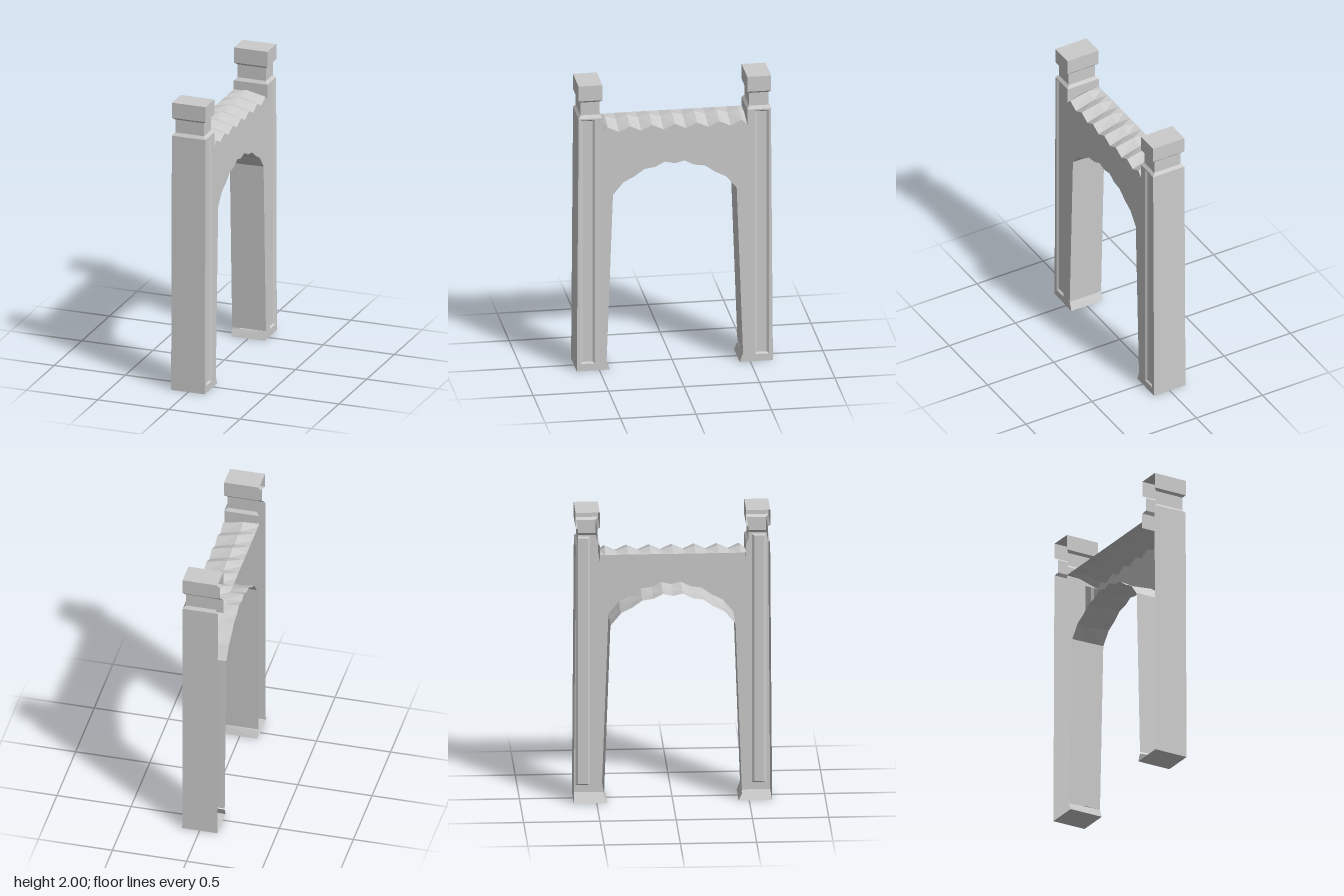
import * as THREE from 'three';

const FRONT = 0.117, MID = -0.02, BACK = -0.12;
const material = new THREE.MeshStandardMaterial({ color: 0xcccccc, flatShading: true, side: THREE.DoubleSide });

// Skin a surface over rows of [x, y, z] points
function skin(name, rows) {
  const n = rows[0].length, index = [];
  for (let r = 0; r < rows.length - 1; r++) {
    for (let i = 0; i < n - 1; i++) {
      const a = r * n + i, b = a + n;
      index.push(a, a + 1, b, a + 1, b + 1, b);
    }
  }
  const geometry = new THREE.BufferGeometry();
  geometry.setAttribute('position', new THREE.Float32BufferAttribute(rows.flat(2), 3));
  geometry.setIndex(index);
  geometry.computeVertexNormals();
  const mesh = new THREE.Mesh(geometry, material);
  mesh.name = name;
  return mesh;
}

// Closed rectangle in the front plane
function rectangle(x, y0, y1, z0, z1) {
  return [[x, y0, z0], [x, y0, z1], [x, y1, z1], [x, y1, z0], [x, y0, z0]];
}

// Half of the arch edge, from springing to crown, as [z, y]
const archHalf = [[0.41, 1.225], [0.34, 1.31], [0.27, 1.345], [0.2, 1.395], [0.13, 1.405], [0.065, 1.438]];
const mirror = (half) => half.map(([z, y]) => [-z, y]).reverse();
const arch = [...archHalf, [0, 1.423], ...mirror(archHalf)];

// Zigzag coping line along the beam, as [z, drop]
const coping = [[0.48, 1]];
for (let k = 6; k >= -6; k--) coping.push([k * 0.074, Math.abs(k) % 2]);
coping.push([-0.48, 1]);

function facade() {
  const half = [[0.48, 1.77], [0.637, 1.77], [0.65, 0], [0.43, 0], [0.452, 0.06]];
  const outline = [
    ...half, ...arch, ...mirror(half),
    ...coping.map(([z, d]) => [z, 1.7 - 0.035 * d]).reverse(),
  ];
  const shape = new THREE.Shape(outline.map(([z, y]) => new THREE.Vector2(-z, y)));
  for (const s of [-1, 1]) {
    const corners = rectangle(0, 0.05, 1.76, s * 0.53, s * 0.625);
    shape.holes.push(new THREE.Path(corners.map(([, y, z]) => new THREE.Vector2(z, y))));
  }
  const mesh = new THREE.Mesh(new THREE.ShapeGeometry(shape), material);
  mesh.geometry.rotateY(Math.PI / 2).translate(FRONT, 0, 0);
  mesh.name = 'facade';
  return mesh;
}

function pier(s) {
  const group = new THREE.Group();
  group.name = s > 0 ? 'frontPier' : 'backPier';
  const across = (z, y) => [[FRONT, y, s * z], [BACK, y, s * z]];
  // Foot flares towards the opening
  group.add(
    skin('outerWall', [across(0.65, 0), across(0.637, 1.77)]),
    skin('floor', [across(0.65, 0), across(0.43, 0)]),
    skin('foot', [across(0.43, 0), [[FRONT, 0.06, s * 0.452], [BACK, 0.05, s * 0.452]]]),
    skin('innerWall', [across(0.452, 0.06), across(0.41, 1.225)]),
    skin('shoulder', [across(0.48, 1.665), across(0.48, 1.77)]),
  );
  // Sunken vertical panel with bevelled edges
  const floorX = FRONT - 0.012;
  group.add(skin('panel', [
    rectangle(FRONT, 0.05, 1.76, s * 0.53, s * 0.625),
    rectangle(floorX, 0.06, 1.75, s * 0.545, s * 0.61),
    rectangle(floorX, 0.9, 0.9, s * 0.578, s * 0.578),
  ]));
  // Neck and head, open at the back: [y, half depth, half width]
  const levels = [[1.77, 0.079, 0.117], [1.79, 0.064, 0.1], [1.88, 0.064, 0.1],
    [1.895, 0.079, 0.118], [2, 0.079, 0.118], [2, 0, 0.118]];
  group.add(skin('cap', levels.map(([y, d, w]) => {
    const z = s * 0.559;
    return [[-w, y, z + d], [w, y, z + d], [w, y, z - d], [-w, y, z - d]];
  })));
  return group;
}

export function createModel() {
  const model = new THREE.Group();
  model.name = 'gateway';
  model.add(facade(), pier(1), pier(-1));

  // Scalloped underside of the arch
  model.add(skin('archSoffit', [
    arch.map(([z, y]) => [FRONT, y, z]),
    arch.map(([z, y], i) => [MID, y - (i % 2 ? 0.014 : 0.004), z]),
    arch.map(([z, y]) => [BACK, y - 0.005, z]),
  ]));

  // Rippled coping, smoothing out towards the back
  model.add(skin('coping', [
    coping.map(([z, d]) => [FRONT, 1.7 - 0.035 * d, z]),
    coping.map(([z, d]) => [MID, 1.73 - 0.025 * d, z]),
    coping.map(([z]) => [BACK, 1.708, z]),
  ]));
  return model;
}
